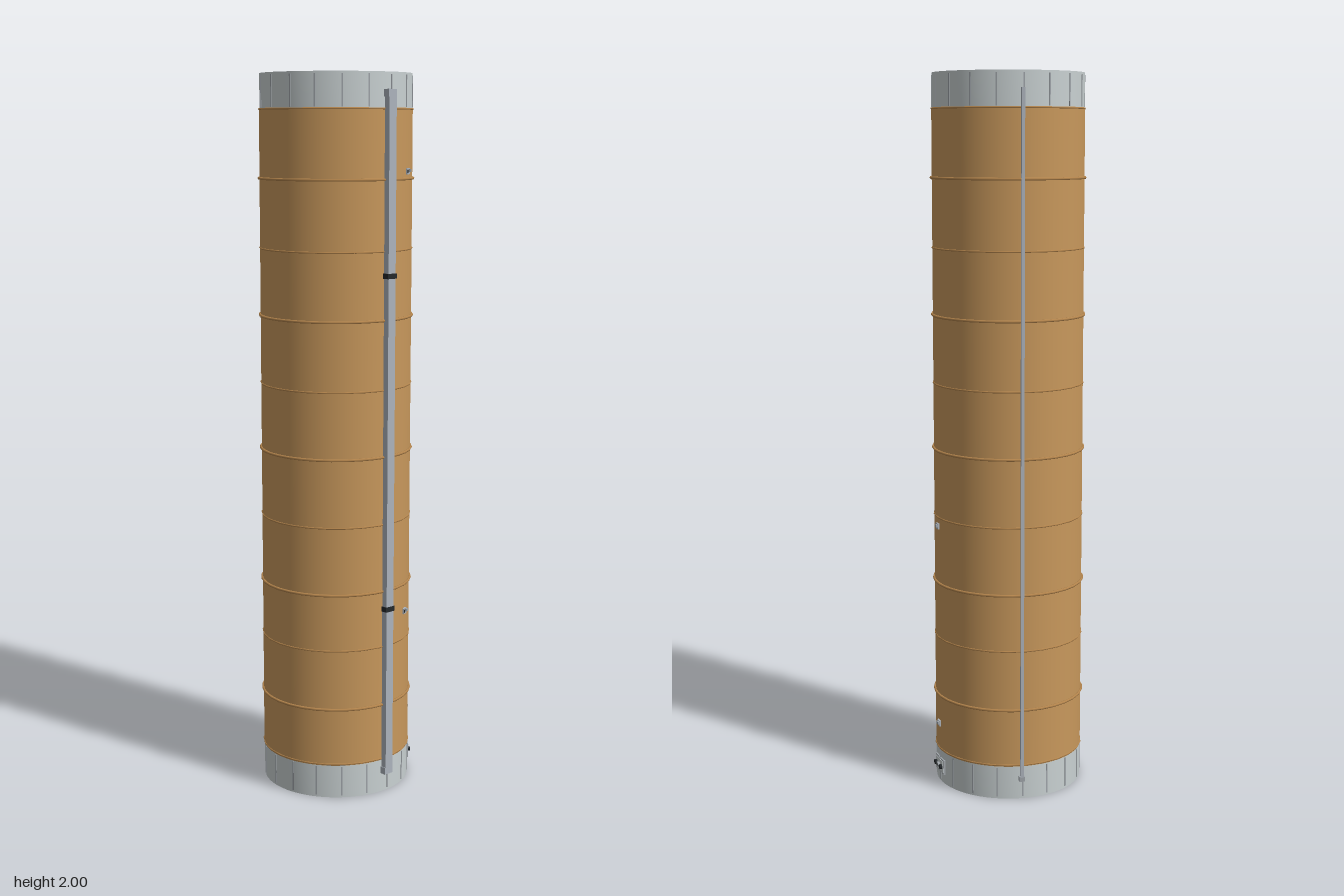
import * as THREE from 'three';
import { toCreasedNormals } from 'three/addons/utils/BufferGeometryUtils.js';

const mat = (name, color, side = THREE.FrontSide) => {
  const m = new THREE.MeshStandardMaterial({ color, side });
  m.name = name;
  return m;
};

export function createModel() {
  const root = new THREE.Group();
  root.name = 'cylindricalTank';
  const tank = new THREE.Group();
  tank.name = 'tank';
  tank.position.z = -0.006;
  root.add(tank);

  const foam = mat('tan foam', 0xc8985c, THREE.DoubleSide);
  const band = mat('dark tan band', 0xb7874e);
  const ringGrey = mat('light grey metal', 0xc9d1d2);
  const pipeGrey = mat('blue grey metal', 0xadb4bd);
  const capGrey = mat('mid grey metal', 0xa0a5aa);
  const dark = mat('near black', 0x24282b);

  const add = (parent, name, geometry, material, x = 0, y = 0, z = 0) => {
    const mesh = new THREE.Mesh(geometry, material);
    mesh.name = name;
    mesh.position.set(x, y, z);
    parent.add(mesh);
    return mesh;
  };
  // Group turned so that its local +z points outwards at the given angle
  const station = (name, degrees, y = 0) => {
    const g = new THREE.Group();
    g.name = name;
    g.rotation.y = THREE.MathUtils.degToRad(degrees);
    g.position.y = y;
    tank.add(g);
    return g;
  };
  const box = (w, h, d) => new THREE.BoxGeometry(w, h, d);

  // Main wall, open at both ends
  add(tank, 'tankWall', new THREE.CylinderGeometry(0.2095, 0.2095, 1.81, 64, 1, true), foam, 0, 1, 0);

  // End rings: hollow skirts with thin vertical ribs
  const skirt = toCreasedNormals(new THREE.LatheGeometry(
    [[0.208, 0], [0.208, 0.097], [0.2, 0.097], [0.2, 0], [0.208, 0]].map(p => new THREE.Vector2(...p)), 64), 0.6);
  for (const [name, y] of [['lower', 0], ['upper', 1.903]]) {
    add(tank, name + 'Skirt', skirt, ringGrey, 0, y, 0);
    for (let i = 0; i < 18; i++) {
      const g = station(name + 'SkirtRib', i * 20 + 3, y + 0.0485);
      add(g, 'rib', box(0.004, 0.085, 0.004), capGrey, 0, 0, 0.2075);
    }
  }

  // Domes recessed inside the skirts, each with a round hatch
  const dome = new THREE.SphereGeometry(0.195, 48, 12, 0, Math.PI * 2, 0, Math.PI / 2);
  const upper = add(tank, 'upperDome', dome, foam, 0, 1.905, 0);
  upper.scale.y = 0.08 / 0.195;
  add(tank, 'upperHatch', new THREE.CylinderGeometry(0.03, 0.03, 0.014, 12), capGrey, 0, 1.985, 0);
  const lower = add(tank, 'lowerDome', dome, foam, 0, 0.1, 0);
  lower.rotation.x = Math.PI;
  lower.scale.y = 0.07 / 0.195;
  add(tank, 'lowerHatch', new THREE.CylinderGeometry(0.024, 0.024, 0.012, 12), capGrey, 0, 0.03, 0);

  // Raised hoops, with finer faceted seams in between
  const hoop = (name, y, radius, tube, sides) => {
    const t = add(tank, name, new THREE.TorusGeometry(radius, tube, 6, sides), band, 0, y, 0);
    t.rotation.x = Math.PI / 2;
  };
  for (const y of [0.26, 0.59, 0.97, 1.345, 1.72]) hoop('hoop', y, 0.2115, 0.004, 32);
  for (const y of [0.099, 0.43, 0.78, 1.155, 1.53, 1.905]) hoop('seam', y, 0.2095, 0.0028, 26);

  // Cable duct up the front, with two clamps and end blocks
  const duct = station('cableDuct', 0);
  add(duct, 'ductCover', box(0.026, 1.89, 0.018), pipeGrey, 0, 1.005, 0.2175);
  for (const y of [0.54, 1.465]) add(duct, 'ductClamp', box(0.032, 0.014, 0.02), dark, 0, y, 0.218);
  for (const y of [0.065, 1.945]) add(duct, 'ductEnd', box(0.03, 0.02, 0.018), pipeGrey, 0, y, 0.2165);

  // Thin conduit up the back left
  const conduit = station('conduit', 142);
  add(conduit, 'conduitTube', box(0.009, 1.89, 0.012), pipeGrey, 0, 1.01, 0.213);
  add(conduit, 'conduitFoot', box(0.016, 0.014, 0.014), capGrey, 0, 0.06, 0.212);

  // Small vent fittings
  for (const [angle, y] of [[25, 0.51], [25, 1.74], [62.5, 0.175], [62.5, 0.755]]) {
    const g = station('ventFitting', angle, y);
    add(g, 'ventBase', box(0.02, 0.016, 0.006), pipeGrey, 0, 0, 0.211);
    add(g, 'ventStub', box(0.01, 0.008, 0.006), capGrey, 0.004, 0.002, 0.216);
    add(g, 'ventPort', box(0.005, 0.008, 0.005), dark, -0.007, 0, 0.213);
  }

  // Connector plate on the lower skirt
  const plate = station('connectorPlate', 62.5, 0.05);
  add(plate, 'plateFrame', box(0.07, 0.042, 0.006), capGrey, 0, 0, 0.208);
  add(plate, 'plateFace', box(0.062, 0.034, 0.006), ringGrey, 0, 0, 0.2095);
  for (const x of [-0.021, 0, 0.021]) {
    const plug = add(plate, 'plug', new THREE.CylinderGeometry(0.007, 0.007, 0.01, 10), x ? dark : capGrey, x, 0, 0.214);
    plug.rotation.x = Math.PI / 2;
  }
  add(plate, 'plugCore', box(0.008, 0.006, 0.004), dark, 0, 0, 0.218);

  return root;
}
